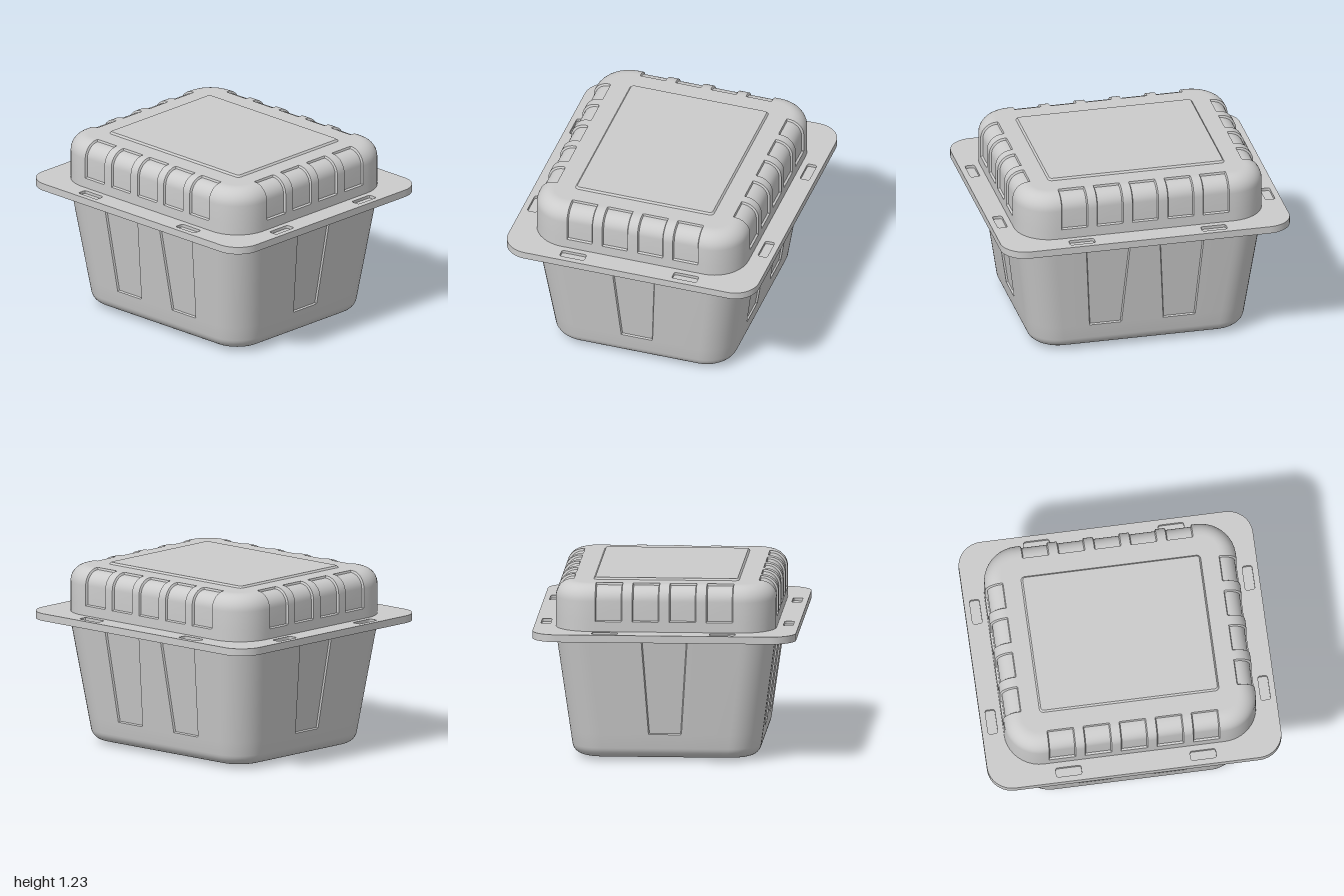
import * as THREE from 'three';
import { toCreasedNormals } from 'three/addons/utils/BufferGeometryUtils.js';

const material = new THREE.MeshStandardMaterial({ color: 0xcccccc });
const EDGE = 0.007; // width of the sloping wall around each recess
const ARC = 10; // segments per rounded corner

// One rounded-rectangle section. Recess bands (centres per side pair, half width)
// are pushed inwards by depth along a normal tilted upwards by tilt.
function section({ hx, hz, r, y, bands = [[], []], half = 0, depth = 0, tilt = 0 }) {
  const points = [];
  let n = [0, 1], t = [1, 0];
  for (let side = 0; side < 4; side++) {
    const out = side % 2 ? hx : hz, along = side % 2 ? hz : hx;
    const add = (u, v, dy = 0) => points.push([n[0] * u + t[0] * v, y + dy, n[1] * u + t[1] * v]);
    for (const c of bands[side % 2]) {
      const sink = depth * Math.cos(tilt), drop = -depth * Math.sin(tilt);
      add(out, c - half - EDGE);
      add(out - sink, c - half, drop);
      add(out - sink, c + half, drop);
      add(out, c + half + EDGE);
    }
    for (let i = 0; i <= ARC; i++) {
      const a = (i / ARC) * Math.PI / 2;
      add(out - r + r * Math.cos(a), along - r + r * Math.sin(a));
    }
    [n, t] = [t, [-n[0], -n[1]]];
  }
  return points;
}

// Skin the sections from bottom to top and close both ends
function loft(name, rows) {
  const rings = rows.map(section), count = rings[0].length, last = rings.length - 1;
  const positions = rings.flat(2), index = [];
  const bottom = rings.length * count, top = bottom + 1;
  positions.push(0, rows[0].y, 0, 0, rows[last].y, 0);
  for (let j = 0; j < count; j++) {
    const k = (j + 1) % count;
    for (let i = 0; i < last; i++) {
      const a = i * count + j, b = i * count + k;
      index.push(a, b, b + count, a, b + count, a + count);
    }
    index.push(k, j, bottom, last * count + j, last * count + k, top);
  }
  const geometry = new THREE.BufferGeometry();
  geometry.setAttribute('position', new THREE.Float32BufferAttribute(positions, 3));
  geometry.setIndex(index);
  return named(name, geometry);
}

function named(name, geometry) {
  const mesh = new THREE.Mesh(toCreasedNormals(geometry, 0.6), material);
  mesh.name = name;
  return mesh;
}

function roundedRect(path, cx, cy, hx, hy, r) {
  path.absarc(cx + hx - r, cy + hy - r, r, 0, Math.PI / 2);
  path.absarc(cx - hx + r, cy + hy - r, r, Math.PI / 2, Math.PI);
  path.absarc(cx - hx + r, cy - hy + r, r, Math.PI, Math.PI * 1.5);
  path.absarc(cx + hx - r, cy - hy + r, r, Math.PI * 1.5, Math.PI * 2);
  path.closePath();
  return path;
}

function rimPlate(name, y, height, holes) {
  const shape = roundedRect(new THREE.Shape(), 0, 0, 1, 0.89, 0.17);
  shape.holes.push(...holes);
  const geometry = new THREE.ExtrudeGeometry(shape, { depth: height, bevelEnabled: false, curveSegments: 10 });
  geometry.rotateX(-Math.PI / 2).translate(0, y, 0);
  return named(name, geometry);
}

// Tapered tub with trapezoid recesses running up to the rim
function makeTub() {
  const bands = [[-0.255, 0.255], [0]];
  const rows = [], f = 0.07, y0 = 0.02;
  const widths = (y) => {
    const k = (y - 0.09) / 0.765;
    return { hx: 0.748 + 0.102 * k, hz: 0.638 + 0.104 * k, r: 0.21 + 0.01 * k };
  };
  const row = (y, inset, depth) => {
    const w = widths(y), s = Math.max(0, (y - 0.195) / 0.66);
    rows.push({ hx: w.hx - inset, hz: w.hz - inset, r: w.r - inset, y, bands, half: 0.105 + 0.045 * s, depth });
  };
  for (let i = 0; i <= 7; i++) {
    const a = (i / 7) * Math.PI / 2;
    row(y0 + f * (1 - Math.sin(a)), f * (1 - Math.cos(a)), 0);
  }
  rows.reverse();
  for (let i = 0; i <= 7; i++) rows[i].y = y0 + f * (1 - Math.cos((i / 7) * Math.PI / 2));
  row(0.188, 0, 0);
  row(0.195, 0, 0.012);
  row(0.855, 0, 0.012);
  return loft('tub', rows);
}

// Domed lid with a row of grip recesses wrapping over each top edge
function makeLid() {
  const bands = [[-0.49, -0.245, 0, 0.245, 0.49], [-0.375, -0.125, 0.125, 0.375]];
  const rows = [], f = 0.11, top = 1.22;
  const row = (y, inset, depth, tilt = 0) =>
    rows.push({ hx: 0.855 - inset, hz: 0.745 - inset, r: 0.24 - inset, y, bands, half: 0.084, depth, tilt });
  row(0.9, 0, 0);
  row(0.973, 0, 0);
  row(0.98, 0, 0.014);
  for (let i = 0; i <= 9; i++) {
    const a = (i / 9) * Math.PI / 2;
    row(top - f + f * Math.sin(a), f * (1 - Math.cos(a)), 0.014, a);
  }
  row(top, 0.116, 0.014, Math.PI / 2);
  row(top, 0.121, 0);
  return loft('lid', rows);
}

export function createModel() {
  const group = new THREE.Group();
  group.add(makeTub(), makeLid());

  // Raised foot under the tub and raised panel on the lid
  group.add(loft('foot', [
    { hx: 0.55, hz: 0.465, r: 0.06, y: 0 },
    { hx: 0.565, hz: 0.48, r: 0.07, y: 0.021 },
  ]));
  group.add(loft('lidPanel', [
    { hx: 0.615, hz: 0.495, r: 0.03, y: 1.215 },
    { hx: 0.6, hz: 0.48, r: 0.02, y: 1.233 },
  ]));

  // Rim in two layers, the upper one cut by shallow pockets
  const pockets = [];
  for (const a of [-1, 1]) for (const b of [-1, 1]) {
    pockets.push(roundedRect(new THREE.Path(), a * 0.457, b * 0.818, 0.087, 0.033, 0.015));
    pockets.push(roundedRect(new THREE.Path(), a * 0.927, b * 0.398, 0.033, 0.087, 0.015));
  }
  group.add(rimPlate('lowerRim', 0.855, 0.03, []));
  group.add(rimPlate('upperRim', 0.885, 0.02, pockets));
  return group;
}
